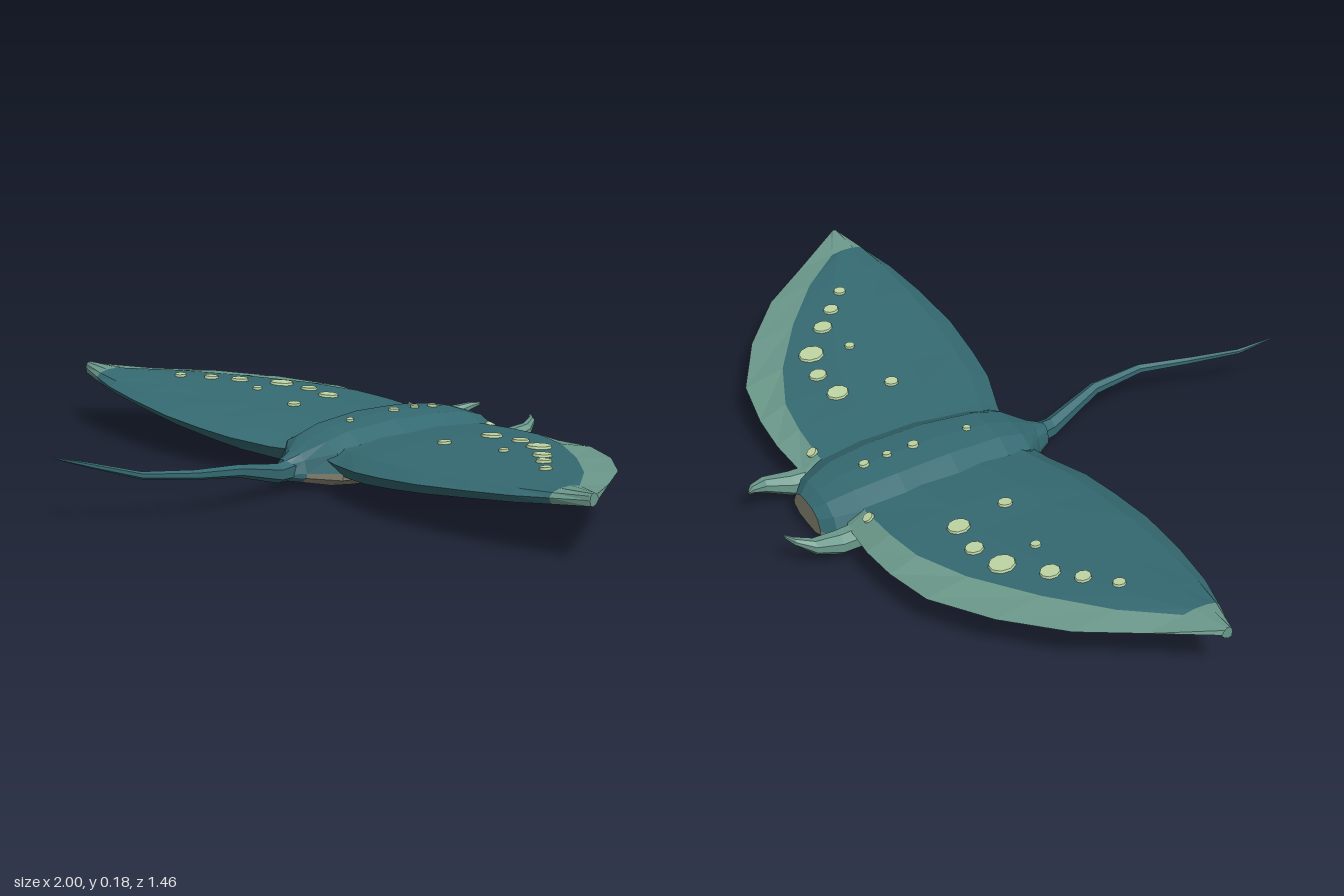
import * as THREE from 'three';

const mat = (name, color) => {
  const m = new THREE.MeshStandardMaterial({ color });
  m.name = name;
  return m;
};

// Skin closed rings of points into a faceted solid; colourOf(i, j) picks a material per panel.
function loft(name, rings, materials, colourOf = () => 0) {
  const buckets = materials.map(() => []);
  const n = rings[0].length;
  const tri = (m, a, b, c) => buckets[m].push([a, b, c]);
  for (let i = 0; i < rings.length - 1; i++) {
    for (let j = 0; j < n; j++) {
      const k = (j + 1) % n, m = colourOf(i, j);
      const a = rings[i][j], b = rings[i][k], c = rings[i + 1][k], d = rings[i + 1][j];
      tri(m, a, b, c);
      tri(m, a, c, d);
    }
  }
  const last = rings.length - 1;
  for (let j = 1; j < n - 1; j++) {
    tri(colourOf(-1, j), rings[0][0], rings[0][j + 1], rings[0][j]);
    tri(colourOf(last, j), rings[last][0], rings[last][j], rings[last][j + 1]);
  }
  // Turn the solid outward whichever way the rings run
  let volume = 0;
  for (const [a, b, c] of buckets.flat()) volume += a.dot(b.clone().cross(c));
  const geo = new THREE.BufferGeometry();
  const points = [];
  buckets.forEach((tris, m) => {
    geo.addGroup(points.length, tris.length * 3, m);
    for (const [a, b, c] of tris) points.push(...(volume < 0 ? [a, c, b] : [a, b, c]));
  });
  geo.setFromPoints(points);
  geo.computeVertexNormals();
  const mesh = new THREE.Mesh(geo, materials);
  mesh.name = name;
  return mesh;
}

// Elliptical ring facing along z
const oval = (x, y, z, rx, ry, n) => Array.from({ length: n }, (_, k) => {
  const a = (k + 0.5) / n * Math.PI * 2;
  return new THREE.Vector3(x + Math.cos(a) * rx, y + Math.sin(a) * ry, z);
});

export function createModel() {
  const model = new THREE.Group();
  model.name = 'ray';
  const teal = mat('teal back', 0x356a72);
  const band = mat('pale fin edge', 0x6b998b);
  const belly = mat('belly', 0x8a8874);
  const pale = mat('pale spots', 0xbfd6a4);
  const dark = mat('dark slits', 0x1f2c2e);

  // Body: flattened rings from snout to tail root
  const half = [[0, 1], [0.45, 0.97], [0.8, 0.78], [1, 0.36], [0.98, 0.2], [0.6, 0.02], [0, 0]];
  const profile = [...half, ...half.slice(1, -1).reverse().map(([x, y]) => [-x, y])];
  const bodyStations = [ // z, half width, bottom, top
    [-0.62, 0.075, 0.03, 0.1], [-0.59, 0.115, 0.015, 0.122], [-0.52, 0.15, 0.006, 0.145],
    [-0.4, 0.165, 0.002, 0.158], [-0.25, 0.16, 0, 0.162], [-0.1, 0.137, 0.005, 0.15],
    [-0.03, 0.125, 0.012, 0.13], [0.03, 0.05, 0.022, 0.1], [0.07, 0.025, 0.03, 0.085],
  ];
  const body = loft('body', bodyStations.map(([z, w, b, t]) =>
    profile.map(([x, y]) => new THREE.Vector3(x * w, b + y * (t - b), z))),
  [teal, belly], (i, j) => (i < 0 || (j >= 3 && j <= 8 && i < 7) ? 1 : 0));
  model.add(body);

  // Tail: tapering and swaying whip
  const tailStations = [ // x, y, z, radius
    [0, 0.058, 0.02, 0.032], [0.015, 0.056, 0.1, 0.026], [0.058, 0.096, 0.26, 0.017],
    [0.06, 0.109, 0.4, 0.013], [0.012, 0.119, 0.53, 0.01], [-0.055, 0.15, 0.64, 0.007],
    [-0.08, 0.176, 0.725, 0.002],
  ];
  model.add(loft('tail', tailStations.map(([x, y, z, r]) => oval(x, y, z, r, r, 6)), [teal]));

  // Lay a thin part on a surface, found from above (dir -1) or below (dir 1)
  const ray = new THREE.Raycaster();
  const place = (mesh, target, x, z, dir) => {
    ray.set(new THREE.Vector3(x, -dir * 2, z), new THREE.Vector3(0, dir, 0));
    const hit = ray.intersectObject(target)[0];
    if (!hit) return;
    mesh.position.copy(hit.point).addScaledVector(hit.face.normal, 0.002);
    mesh.quaternion.setFromUnitVectors(new THREE.Vector3(0, 1, 0), hit.face.normal);
    model.add(mesh);
  };
  const spot = (target, x, z, r, dir = -1) => {
    const mesh = new THREE.Mesh(new THREE.CylinderGeometry(r * 0.92, r, 0.009, 9), pale);
    mesh.name = 'spot';
    mesh.scale.z = 1.1;
    place(mesh, target, x, z, dir);
  };

  const wingStations = [ // x, leading z, band z, trailing z, bottom, top
    [0.08, -0.55, -0.51, -0.01, 0.045, 0.128], [0.13, -0.57, -0.52, 0.005, 0.04, 0.131],
    [0.25, -0.58, -0.515, 0.045, 0.052, 0.138], [0.36, -0.575, -0.5, 0.06, 0.064, 0.143],
    [0.5, -0.55, -0.44, 0.07, 0.082, 0.15], [0.66, -0.455, -0.33, 0.06, 0.103, 0.158],
    [0.8, -0.33, -0.21, 0.04, 0.12, 0.165], [0.9, -0.19, -0.09, 0.012, 0.133, 0.17],
    [1, -0.05, -0.042, -0.02, 0.143, 0.176],
  ];
  const wingSpots = [ // x, z, radius
    [0.51, -0.35, 0.033], [0.42, -0.375, 0.023], [0.325, -0.365, 0.028], [0.6, -0.27, 0.025],
    [0.66, -0.215, 0.02], [0.725, -0.155, 0.016], [0.49, -0.245, 0.013], [0.3, -0.22, 0.018],
  ];
  const fin = [ // x, y, z, half width, half height
    [0.133, 0.058, -0.53, 0.035, 0.034], [0.138, 0.058, -0.6, 0.031, 0.033],
    [0.143, 0.077, -0.67, 0.021, 0.022], [0.122, 0.095, -0.713, 0.014, 0.011],
    [0.102, 0.103, -0.73, 0.006, 0.005],
  ];

  for (const s of [1, -1]) {
    const side = s > 0 ? 'left' : 'right';

    // Wing: pale leading band and tip, teal back and blunt trailing face, belly colour beneath
    const rings = wingStations.map(([x, zl, zb, zt, b, t]) => {
      const chord = zt - zb;
      return [
        [zl, 0.5], [zb, 0.85], [zb + chord * 0.3, 1], [zb + chord * 0.65, 0.97],
        [zb + chord * 0.9, 0.8], [zt, 0.5], [zb + chord * 0.93, 0.06],
        [zb + chord * 0.5, 0], [zb + chord * 0.05, 0.12],
      ].map(([z, h]) => new THREE.Vector3(s * x, b + h * (t - b), z));
    });
    const wing = loft(side + 'Wing', rings, [teal, band, belly],
      (i, j) => (i >= 7 || j === 0 ? 1 : j <= 5 ? 0 : 2));
    model.add(wing);
    for (const [x, z, r] of wingSpots) {
      spot(wing, s * x, z, r);
      spot(wing, s * x, z, r * 0.9, 1);
    }

    // Curled head fin
    model.add(loft(side + 'HeadFin',
      fin.map(([x, y, z, w, h]) => oval(s * x, y, z, w, h, 8)), [band]));

    // Eye with a pale patch above it
    const eye = new THREE.Mesh(new THREE.IcosahedronGeometry(0.012, 1), dark);
    eye.name = side + 'Eye';
    eye.position.set(s * 0.167, 0.095, -0.535);
    model.add(eye);
    spot(wing, s * 0.155, -0.525, 0.014);

    // Gill slits
    for (let k = 0; k < 5; k++) {
      const gill = new THREE.Mesh(new THREE.BoxGeometry(0.055, 0.008, 0.008), dark);
      gill.name = side + 'Gill';
      place(gill, body, s * 0.128, -0.48 + k * 0.024, 1);
    }
  }

  // Spots along the spine
  for (const [z, r] of [[-0.455, 0.013], [-0.39, 0.011], [-0.315, 0.014], [-0.16, 0.01]]) {
    spot(body, 0.001, z, r);
  }
  return model;
}
